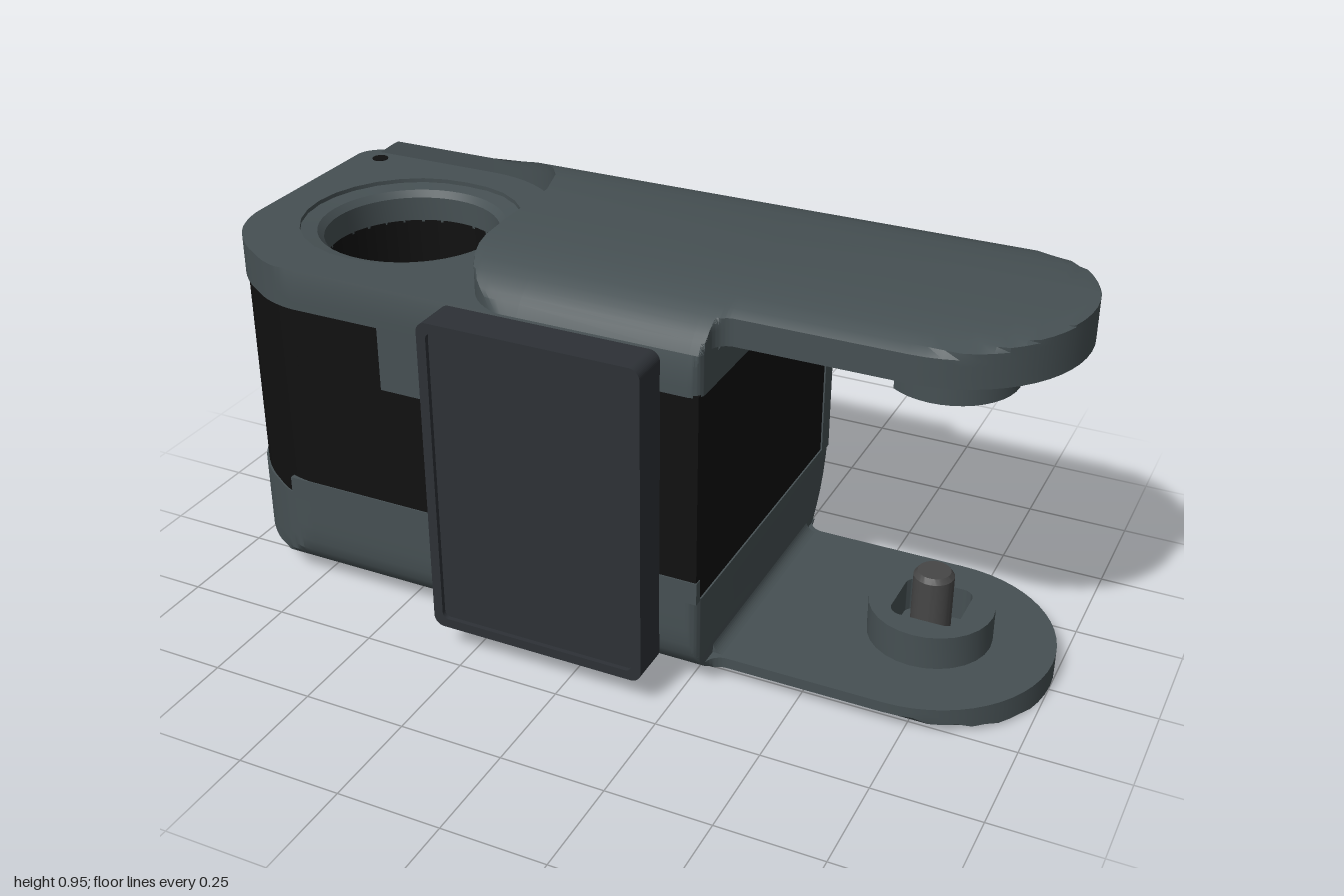
import * as THREE from 'three';
import { toCreasedNormals } from 'three/addons/utils/BufferGeometryUtils.js';

const material = (color) => new THREE.MeshStandardMaterial({ color, side: THREE.DoubleSide });
const SHELL = material(0x465053), BLACK = material(0x101010), COVER = material(0x2d3136), STEEL = material(0x464646);
const HEIGHT = 0.95, CZ = -0.01, BORE_X = -0.64, PIVOT_X = 0.71;

// Back and front limits of the rounded cross-section, by distance from the top or bottom
const DEPTH = [0, 0.005, 0.012, 0.022, 0.036, 0.05, 0.062, 0.075, 0.1, 0.13, 0.17, 0.22, 0.3];
const BACK = [-0.1, -0.2, -0.25, -0.29, -0.322, -0.345, -0.36, -0.373, -0.395, -0.416, -0.436, -0.452, -0.465];
const FRONT = [0.1, 0.19, 0.23, 0.27, 0.3, 0.322, 0.336, 0.348, 0.363, 0.37, 0.372, 0.372, 0.372];

function limit(table, y) {
  const d = Math.min(y, HEIGHT - y);
  const i = DEPTH.findIndex((v) => v >= d);
  if (i < 0) return table[table.length - 1];
  if (i === 0) return table[0];
  return THREE.MathUtils.lerp(table[i - 1], table[i], (d - DEPTH[i - 1]) / (DEPTH[i] - DEPTH[i - 1]));
}
// Left edge of the raised plates: an S-curve around the bore
function plateEdge(z) {
  if (z < -0.06) return -0.615 + Math.sqrt(Math.max(0, 0.09 - (z + 0.06) ** 2));
  if (z > 0.2) return -0.145 - Math.sqrt(Math.max(0, 0.17 ** 2 - (z - 0.2) ** 2));
  return -0.315;
}
// Trim rules: each keeps a plan point inside the cross-section at height y
const keepIn = (x, z, y) => [x, Math.min(Math.max(z, limit(BACK, y)), limit(FRONT, y))];
// The body squeezes its back so that the rear corners stay round
const keepBody = (x, z, y) =>
  [x, z < -0.26 ? -0.26 + (z + 0.26) * (limit(BACK, y) + 0.26) / -0.205 : Math.min(z, limit(FRONT, y))];
const keepRibbed = (x, z, y) => {
  const [, bz] = keepBody(x, z, y);
  return [x, y > 0.215 && y < 0.73 ? Math.max(bz, -0.435) : bz];
};
const keepPlate = (x, z, y) => {
  const [, cz] = keepIn(x, z, y);
  return [Math.max(x, plateEdge(cz)), cz];
};
const keepStrip = (x, z, y) => [Math.max(x, -0.955 + (limit(BACK, y) + 0.395) * 1.6), keepIn(x, z, y)[1]];

// Polygon of [x, z, corner radius]
function outline(points) {
  const shape = new THREE.Shape();
  const n = points.length;
  points.forEach(([x, z, r = 0], i) => {
    const p = new THREE.Vector2(x, z);
    const toward = (q, d) => new THREE.Vector2(q[0], q[1]).sub(p).setLength(d).add(p);
    const prev = points[(i + n - 1) % n], next = points[(i + 1) % n];
    const a = r ? toward(prev, r) : p, b = r ? toward(next, r) : p;
    if (i === 0) shape.moveTo(a.x, a.y); else shape.lineTo(a.x, a.y);
    if (r) {
      const c = toward(prev, r * 0.448), d = toward(next, r * 0.448);
      shape.bezierCurveTo(c.x, c.y, d.x, d.y, b.x, b.y);
    }
  });
  return shape;
}
const rect = (x0, x1, z0, z1, r) => outline([[x0, z0, r], [x1, z0, r], [x1, z1, r], [x0, z1, r]]);
function withHole(shape, x, z, r) {
  shape.holes.push(new THREE.Path().absarc(x, z, r, 0, Math.PI * 2, true));
  return shape;
}

// Stack a plan outline through ascending levels, trimming it at each one
function stack(shape, levels, trim = (x, z) => [x, z]) {
  const { shape: contour, holes } = shape.extractPoints(14);
  const tidy = (loop, clockwise) => {
    if (loop[0].equals(loop[loop.length - 1])) loop.pop();
    if (THREE.ShapeUtils.isClockWise(loop) !== clockwise) loop.reverse();
    return loop;
  };
  const loops = [tidy(contour, false), ...holes.map((h) => tidy(h, true))];
  const pos = [];
  const put = (y, ...ps) => ps.forEach((p) => {
    const [x, z] = trim(p.x, p.y, y);
    pos.push(x, y, z);
  });
  for (let k = 0; k + 1 < levels.length; k++) {
    const lo = levels[k], hi = levels[k + 1];
    for (const loop of loops) loop.forEach((a, i) => {
      const b = loop[(i + 1) % loop.length];
      put(lo, a); put(hi, a, b);
      put(lo, a); put(hi, b); put(lo, b);
    });
  }
  const bottom = levels[0], top = levels[levels.length - 1];
  for (const y of [bottom, top]) {
    const flat = loops.map((l) => l.map((p) => new THREE.Vector2(...trim(p.x, p.y, y))));
    const all = loops.flat();
    for (const [a, b, c] of THREE.ShapeUtils.triangulateShape(flat[0], flat.slice(1))) {
      if (y === bottom) put(y, all[a], all[b], all[c]); else put(y, all[a], all[c], all[b]);
    }
  }
  const g = new THREE.BufferGeometry();
  g.setAttribute('position', new THREE.Float32BufferAttribute(pos, 3));
  return toCreasedNormals(g, 0.5);
}

export function createModel() {
  const model = new THREE.Group();
  const add = (name, geometry, mat, x = 0, y = 0, z = 0) => {
    const m = new THREE.Mesh(geometry, mat);
    m.name = name;
    m.position.set(x, y, z);
    model.add(m);
    return m;
  };
  const box = (name, mat, x0, x1, y0, y1, z0, z1) =>
    add(name, new THREE.BoxGeometry(x1 - x0, y1 - y0, z1 - z0), mat, (x0 + x1) / 2, (y0 + y1) / 2, (z0 + z1) / 2);
  const lathe = (name, profile, mat, x) =>
    add(name, toCreasedNormals(new THREE.LatheGeometry(profile.map((p) => new THREE.Vector2(...p)), 48), 0.5), mat, x, 0, CZ);
  const disc = (name, r, h, mat, x, y, z) => add(name, new THREE.CylinderGeometry(r, r, h, 32), mat, x, y, z);

  // Raised top and bottom plates, each running out into a rounded arm
  const plate = outline([[-0.615, -0.465], [0.29, -0.465, 0.04], [0.29, -0.31, 0.04], [1, -0.31, 0.3],
    [1, 0.29, 0.3], [0.29, 0.29, 0.04], [0.29, 0.372, 0.03], [-0.315, 0.372, 0.17], [-0.315, -0.36, 0.3], [-0.615, -0.36]]);
  const near = DEPTH.filter((d) => d < 0.07);
  const flip = (levels) => levels.map((d) => HEIGHT - d).reverse();
  add('bottomArmPlate', stack(plate, near, keepPlate), SHELL);
  add('topArmPlate', stack(plate, flip([...near, 0.075, 0.1]), keepPlate), SHELL);

  // Rounded strip carrying the top back edge past the bore
  const strip = outline([[-1, -0.465, 0.09], [-0.6, -0.465], [-0.6, -0.36], [-1, -0.36]]);
  add('topBackStrip', stack(strip, flip([0.062, 0.075, 0.085, 0.1]), keepStrip), SHELL);

  // Body shells above and below the black core
  const body = (r) => withHole(outline([[-1, -0.465, 0.11], [0.29, -0.465, 0.04], [0.29, 0.372, 0.03],
    [-0.78, 0.372, 0.06], [-0.93, 0.275, 0.06], [-1, 0.165, 0.06]]), BORE_X, CZ, r);
  add('lowerShell', stack(body(0.115), [0.062, 0.08, 0.1, 0.13, 0.17, 0.215, 0.2151, 0.25], keepRibbed), SHELL);
  add('upperShell', stack(body(0.265), [0.755, 0.78, 0.82, 0.85], keepRibbed), SHELL);
  add('upperBackEdge', stack(outline([[-1, -0.465, 0.11], [0.29, -0.465, 0.04], [0.29, -0.4], [-1, -0.4]]),
    [0.73, 0.755], keepBody), SHELL);

  // Black core with its bore
  add('core', stack(withHole(outline([[-0.994, -0.39, 0.03], [0.286, -0.39], [0.286, 0.369], [-0.78, 0.369, 0.06],
    [-0.925, 0.272, 0.06], [-0.994, 0.164, 0.06]]), BORE_X, CZ, 0.21), [0.245, 0.76]), BLACK);
  lathe('boreRim', [[0.265, 0.85], [0.265, 0.84], [0.225, 0.835], [0.21, 0.82], [0.21, 0.755]], SHELL, BORE_X);
  lathe('boreSeat', [[0.18, 0.25], [0.18, 0.27], [0.15, 0.27], [0.15, 0.26], [0.115, 0.25]], SHELL, BORE_X);

  // Back wall, left rear corner and cooling ribs that fade into it
  box('backWall', SHELL, -0.9, 0.29, 0.24, 0.76, -0.435, -0.388);
  add('rearCorner', stack(outline([[-1, -0.465, 0.11], [-0.885, -0.465], [-0.885, -0.18], [-1, -0.18]]),
    [0.216, 0.25, 0.3, 0.65, 0.7, 0.729], keepRibbed), SHELL);
  box('rearCornerTop', SHELL, -0.999, -0.89, 0.725, 0.76, -0.34, -0.18);
  const rib = outline([[-1, -0.465, 0.11], [0.285, -0.465, 0.02], [0.285, -0.42], [-0.88, -0.42], [-0.88, -0.35], [-1, -0.35]]);
  for (let i = 0; i < 9; i++) {
    const y = 0.26 + i * 0.053;
    add('coolingRib', stack(rib, [y - 0.011, y + 0.011], keepBody), SHELL);
  }

  // Front strips and framed front cover
  box('frontLowerLip', SHELL, -0.78, 0.288, 0.245, 0.3, 0.352, 0.372);
  box('frontUpperPanel', SHELL, -0.5, 0.19, 0.6, 0.76, 0.352, 0.372);
  const frame = rect(-0.333, 0.198, 0.07, 0.848, 0.025);
  frame.holes.push(rect(-0.31, 0.175, 0.093, 0.825, 0.015));
  add('frontCoverFrame', new THREE.ExtrudeGeometry(frame, { depth: 0.097, bevelEnabled: false }), COVER, 0, 0, 0.37);
  box('frontCoverPanel', COVER, -0.32, 0.185, 0.083, 0.835, 0.371, 0.456);

  // Fillets where the arms meet the body
  for (const [y, s] of [[0.851, -1], [0.061, 1]]) {
    const f = new THREE.Shape();
    f.moveTo(0.285, y);
    f.lineTo(0.325, y);
    f.quadraticCurveTo(0.288, y, 0.288, y + s * 0.037);
    f.lineTo(0.285, y);
    add('armFillet', new THREE.ExtrudeGeometry(f, { depth: 0.58, bevelEnabled: false }), SHELL, 0, 0, -0.3);
  }

  // Upper pivot: round boss with one flat side
  disc('upperPivotPad', 0.165, 0.01, SHELL, PIVOT_X + 0.02, 0.85, CZ);
  const boss = new THREE.Shape();
  const cut = Math.acos(-0.6);
  boss.absarc(PIVOT_X, CZ, 0.15, -cut, cut, false);
  add('upperPivotBoss', stack(boss, [0.735, 0.86]), SHELL);

  // Lower pivot: ring with a square socket and a pin
  const ring = new THREE.Shape().absarc(PIVOT_X, CZ, 0.145, 0, Math.PI * 2, false);
  ring.holes.push(rect(PIVOT_X - 0.08, PIVOT_X + 0.08, CZ - 0.08, CZ + 0.08, 0.03));
  add('lowerPivotRing', stack(ring, [0.06, 0.145]), SHELL);
  lathe('pivotPin', [[0.047, 0.06], [0.047, 0.22], [0.038, 0.232], [0, 0.232]], STEEL, PIVOT_X);

  // Screws underneath, lying along the curve, and a small dimple on top
  disc('pivotScrewRecess', 0.09, 0.004, BLACK, PIVOT_X, 0.001, CZ);
  disc('pivotScrew', 0.05, 0.004, STEEL, PIVOT_X, 0, CZ);
  for (const [x, y, z, tilt] of [[0.13, 0.027, -0.3, 0.41], [0.09, 0.037, 0.3, -0.5]]) {
    disc('bottomScrewRecess', 0.045, 0.008, BLACK, x, y, z).rotation.x = tilt;
    disc('bottomScrew', 0.025, 0.011, STEEL, x, y, z).rotation.x = tilt;
  }
  disc('bottomFoot', 0.028, 0.035, SHELL, -0.85, 0.063, -0.357);
  disc('bottomFootSocket', 0.017, 0.004, BLACK, -0.85, 0.045, -0.357);
  disc('topDimple', 0.02, 0.004, BLACK, -0.93, 0.85, -0.32);
  return model;
}
